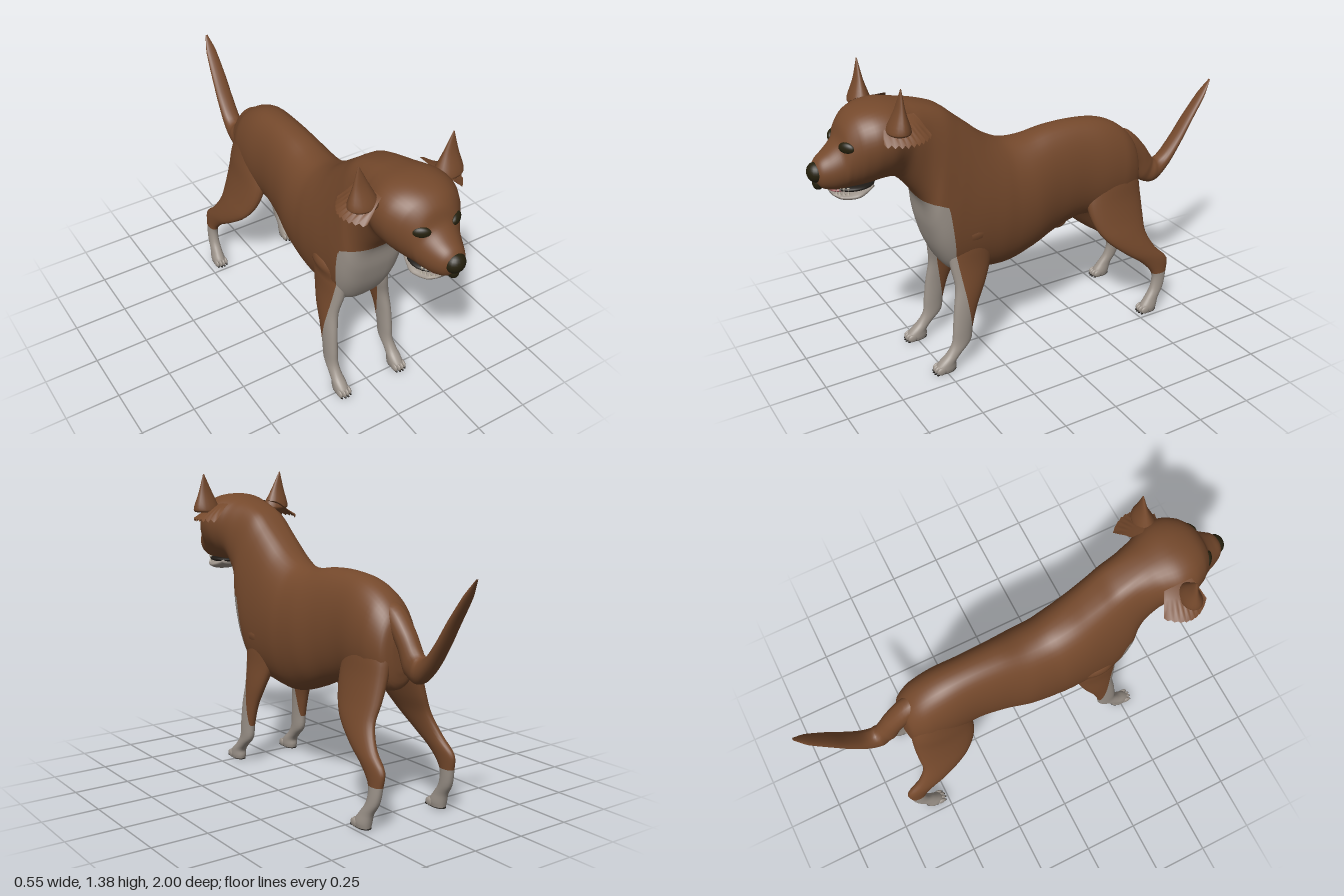
import * as THREE from 'three';

const mat = (name, color, side = THREE.FrontSide) => {
  const m = new THREE.MeshStandardMaterial({ color, side });
  m.name = name;
  return m;
};

// Smooth skin through sections [zTop, yTop, zBottom, yBottom, halfWidth, egg, power, xCentre]
function loft(sections, steps = 4, sides = 32) {
  const curve = f => new THREE.CatmullRomCurve3(sections.map(f));
  const tops = curve(s => new THREE.Vector3(s[7], s[1], s[0]));
  const bottoms = curve(s => new THREE.Vector3(s[7], s[3], s[2]));
  const widths = curve(s => new THREE.Vector3(s[4], s[5], s[6]));
  const n = (sections.length - 1) * steps, pos = [], index = [];
  for (let i = 0; i <= n; i++) {
    const a = tops.getPoint(i / n), b = bottoms.getPoint(i / n), w = widths.getPoint(i / n);
    const mid = a.clone().add(b).multiplyScalar(0.5), half = a.clone().sub(b).multiplyScalar(0.5);
    for (let j = 0; j < sides; j++) {
      const t = j / sides * Math.PI * 2, c = Math.cos(t), s = Math.sin(t);
      const x = Math.max(w.x, 0.001) * Math.sign(c) * Math.abs(c) ** w.z * (1 + w.y * s);
      pos.push(mid.x + x, mid.y + half.y * s, mid.z + half.z * s);
      if (i < n) {
        const p = i * sides + j, q = i * sides + (j + 1) % sides;
        index.push(p, q, p + sides, q, q + sides, p + sides);
      }
    }
  }
  // end caps
  for (const [row, t] of [[0, 0], [n, 1]]) {
    const c = tops.getPoint(t).add(bottoms.getPoint(t)).multiplyScalar(0.5), k = pos.length / 3;
    pos.push(c.x, c.y, c.z);
    for (let j = 0; j < sides; j++) {
      const p = row * sides + j, q = row * sides + (j + 1) % sides;
      index.push(k, ...(row ? [p, q] : [q, p]));
    }
  }
  const g = new THREE.BufferGeometry();
  g.setAttribute('position', new THREE.Float32BufferAttribute(pos, 3));
  g.setIndex(index);
  g.computeVertexNormals();
  return g;
}

// Positive where the coat is pale: bib, fronts of the forelegs, and socks
const pale = p => Math.max(0.195 - p.y, Math.min(0.82 - p.y - Math.max(0, 0.5 - p.z) * 0.4, p.z - 0.34 - 0.15 * p.y));

// Cuts a geometry cleanly along the coat border; group 0 is dark, group 1 pale
function splitCoat(source) {
  const g = source.toNonIndexed(), P = g.attributes.position, N = g.attributes.normal;
  const out = [{ p: [], n: [] }, { p: [], n: [] }];
  for (let i = 0; i < P.count; i += 3) {
    const tri = [0, 1, 2].map(k => {
      const p = new THREE.Vector3().fromBufferAttribute(P, i + k);
      return { p, n: new THREE.Vector3().fromBufferAttribute(N, i + k), f: pale(p) };
    });
    out.forEach((o, side) => {
      const poly = [], inside = v => (v.f > 0) === (side === 1);
      tri.forEach((a, k) => {
        const b = tri[(k + 1) % 3];
        if (inside(a)) poly.push(a);
        if (inside(a) !== inside(b)) {
          const t = a.f / (a.f - b.f);
          poly.push({ p: a.p.clone().lerp(b.p, t), n: a.n.clone().lerp(b.n, t).normalize() });
        }
      });
      for (let k = 1; k + 1 < poly.length; k++)
        for (const v of [poly[0], poly[k], poly[k + 1]]) { o.p.push(...v.p); o.n.push(...v.n); }
    });
  }
  const r = new THREE.BufferGeometry(), first = out[0].p.length / 3;
  r.setAttribute('position', new THREE.Float32BufferAttribute([...out[0].p, ...out[1].p], 3));
  r.setAttribute('normal', new THREE.Float32BufferAttribute([...out[0].n, ...out[1].n], 3));
  r.addGroup(0, first, 0);
  r.addGroup(first, out[1].p.length / 3, 1);
  return r;
}

export function createModel() {
  const dog = new THREE.Group();
  dog.name = 'dog';
  const brown = mat('brown coat', 0x75492c), white = mat('pale coat', 0x9c938a);
  const dark = mat('dark nose', 0x25200d), pink = mat('tongue pink', 0xb0666a);
  const ivory = mat('tooth ivory', 0xb8b0a2), pad = mat('paw pad', 0x1e1a16);
  const earSkin = mat('ear brown', 0x75492c, THREE.DoubleSide);

  const add = (name, geo, material) => {
    const m = new THREE.Mesh(geo, material);
    m.name = name;
    dog.add(m);
    return m;
  };
  const blob = (name, material, x, y, z, rx, ry, rz) => {
    const m = add(name, new THREE.SphereGeometry(1, 20, 14), material);
    m.position.set(x, y, z);
    m.scale.set(rx, ry, rz);
    return m;
  };
  // Spine drifts slightly sideways towards both ends
  const along = ([zt, yt, zb, yb, w, egg = 0, power = 0.88]) => [zt, yt, zb, yb, w, egg, power, 0.012 + 0.022 * zt * zt];
  // Upright limb sections [y, sideOffset, z, rx, rz], listed downwards
  const limb = (rows, s) => rows.map(([y, off, z, rx, rz]) => [z + rz, y, z - rz, y, rx, 0, 0.88, 0.008 + s * off]);

  // Torso, neck and head in one skin
  add('body', splitCoat(loft([
    [-0.565, 0.79, -0.57, 0.63, 0.04], [-0.545, 0.86, -0.55, 0.55, 0.095],
    [-0.48, 0.93, -0.46, 0.53, 0.125], [-0.38, 0.98, -0.36, 0.52, 0.13],
    [-0.25, 1.0, -0.25, 0.525, 0.125], [-0.1, 0.998, -0.12, 0.49, 0.135],
    [0.03, 0.98, 0, 0.44, 0.155], [0.13, 0.99, 0.14, 0.4, 0.16],
    [0.22, 1.035, 0.28, 0.415, 0.165, -0.03, 0.8], [0.3, 1.1, 0.415, 0.45, 0.165, -0.08, 0.7],
    [0.36, 1.15, 0.48, 0.55, 0.162, -0.13, 0.62], [0.42, 1.2, 0.517, 0.68, 0.155, -0.14, 0.58],
    [0.48, 1.228, 0.535, 0.8, 0.144, -0.08, 0.62], [0.54, 1.248, 0.585, 0.88, 0.143, 0.03, 0.75],
    [0.6, 1.262, 0.65, 0.945, 0.156, 0.1], [0.68, 1.275, 0.7, 0.955, 0.176, 0.13],
    [0.75, 1.27, 0.75, 0.95, 0.17, 0.15], [0.81, 1.248, 0.8, 0.945, 0.145, 0.13],
    [0.85, 1.21, 0.84, 0.945, 0.115, 0.04], [0.877, 1.15, 0.87, 0.945, 0.096],
    [0.92, 1.11, 0.91, 0.948, 0.078], [0.955, 1.085, 0.95, 0.963, 0.058],
    [0.978, 1.055, 0.972, 0.99, 0.032],
  ].map(along), 5, 48)), [brown, white]);

  // Tail sweeping down and then up to the tip
  add('tail', loft([
    [-1, 1.056, -1, 1.05, 0.006], [-0.95, 0.997, -0.96, 0.972, 0.026],
    [-0.87, 0.89, -0.89, 0.86, 0.036], [-0.8, 0.79, -0.825, 0.75, 0.041],
    [-0.735, 0.72, -0.755, 0.65, 0.044], [-0.7, 0.71, -0.69, 0.597, 0.045],
    [-0.675, 0.735, -0.615, 0.62, 0.045], [-0.63, 0.8, -0.575, 0.71, 0.047],
    [-0.54, 0.89, -0.52, 0.78, 0.05], [-0.44, 0.92, -0.44, 0.8, 0.045],
  ].map(along), 5, 20), brown);

  // Muzzle: lower jaw, mouth, tongue, nose
  add('lowerJaw', loft([
    [0.75, 0.955, 0.74, 0.925, 0.06, 0, 1], [0.79, 0.945, 0.785, 0.902, 0.074, 0, 1],
    [0.84, 0.933, 0.84, 0.893, 0.074, 0.1, 1], [0.885, 0.932, 0.885, 0.902, 0.056, 0.1, 1],
    [0.912, 0.936, 0.908, 0.92, 0.025, 0, 1],
  ].map(along), 5, 24), white);
  blob('mouth', pad, 0.028, 0.945, 0.81, 0.075, 0.017, 0.085);
  blob('tongue', pink, 0.03, 0.943, 0.865, 0.04, 0.013, 0.05);
  blob('nose', dark, 0.034, 1.03, 0.962, 0.044, 0.042, 0.038);
  blob('philtrum', dark, 0.034, 0.985, 0.958, 0.022, 0.03, 0.024);
  for (let i = -5; i <= 5; i++) {
    const a = i * 0.25;
    for (const up of [0, 1]) {
      const tooth = add(up ? 'upperTooth' : 'lowerTooth', new THREE.ConeGeometry(0.006, 0.016, 6), ivory);
      tooth.position.set(0.029 + 0.063 * Math.sin(a), up ? 0.948 : 0.936, 0.835 + 0.07 * Math.cos(a));
      if (up) tooth.rotation.x = Math.PI;
    }
  }
  blob('sheath', brown, 0.012, 0.505, -0.17, 0.022, 0.03, 0.045);

  for (const s of [-1, 1]) {
    const tag = s > 0 ? 'left' : 'right';
    const eye = blob(tag + 'Eye', dark, 0.03 + s * 0.08, 1.135, 0.857, 0.037, 0.024, 0.017);
    eye.rotation.y = s * 0.6;

    // Pointed ear with a ragged flap below it
    add(tag + 'Ear', loft(limb([
      [1.375, 0.215, 0.67, 0.002, 0.002], [1.29, 0.205, 0.674, 0.034, 0.018],
      [1.205, 0.196, 0.68, 0.066, 0.046], [1.195, 0.193, 0.68, 0.06, 0.044],
    ], s), 5, 20), brown);
    const flap = new THREE.PlaneGeometry(1, 1, 18, 3), p = flap.attributes.position;
    for (let i = 0; i < p.count; i++) {
      const u = p.getX(i), v = 0.5 - p.getY(i), jag = v > 0.9 && i % 2 ? 0.014 : 0;
      const bulge = 1 - 1.6 * u * u;
      p.setXYZ(i, 0.004 + s * (0.135 + 0.138 * v * bulge), 1.235 - 0.035 * v - 0.047 * v * v + jag, 0.65 + u * (0.13 + 0.07 * v));
    }
    flap.computeVertexNormals();
    add(tag + 'EarFlap', flap, earSkin);

    // Legs
    const legs = {
      FrontLeg: [
        [0.8, 0.05, 0.32, 0.03, 0.05], [0.7, 0.085, 0.33, 0.05, 0.09], [0.6, 0.104, 0.335, 0.05, 0.106],
        [0.5, 0.113, 0.345, 0.044, 0.097], [0.4, 0.132, 0.358, 0.034, 0.072],
        [0.3, 0.143, 0.388, 0.028, 0.056], [0.2, 0.147, 0.408, 0.026, 0.047],
        [0.13, 0.148, 0.418, 0.025, 0.045], [0.085, 0.15, 0.455, 0.026, 0.036],
        [0.05, 0.15, 0.49, 0.03, 0.04], [0.025, 0.15, 0.5, 0.031, 0.05], [0.004, 0.15, 0.5, 0.027, 0.045],
      ],
      HindLeg: [
        [0.88, 0.04, -0.42, 0.03, 0.05], [0.8, 0.055, -0.42, 0.058, 0.1], [0.7, 0.07, -0.425, 0.06, 0.132],
        [0.6, 0.09, -0.42, 0.052, 0.145], [0.5, 0.12, -0.43, 0.043, 0.135],
        [0.42, 0.15, -0.455, 0.035, 0.11], [0.33, 0.175, -0.53, 0.03, 0.082],
        [0.26, 0.185, -0.608, 0.026, 0.068], [0.19, 0.19, -0.632, 0.023, 0.038],
        [0.12, 0.195, -0.62, 0.024, 0.034], [0.07, 0.2, -0.588, 0.026, 0.036],
        [0.03, 0.202, -0.568, 0.031, 0.045], [0.004, 0.202, -0.565, 0.027, 0.042],
      ],
    };
    for (const [name, rows] of Object.entries(legs)) {
      add(tag + name, splitCoat(loft(limb(rows, s), 4, 28)), [brown, white]);
      const [, off, z, , rz] = rows.at(-1), x = 0.008 + s * off;
      blob(tag + name + 'Pad', pad, x, 0.007, z, 0.028, 0.007, rz + 0.006);
      for (let i = 0; i < 4; i++) {
        const k = i - 1.5, tipZ = z + rz - 0.008 - Math.abs(k) * 0.006;
        blob(tag + name + 'Toe', white, x + k * 0.0155, 0.022, tipZ, 0.0095, 0.019, 0.024);
        blob(tag + name + 'Claw', pad, x + k * 0.0155, 0.01, tipZ + 0.019, 0.004, 0.006, 0.008);
      }
    }
  }
  return dog;
}
